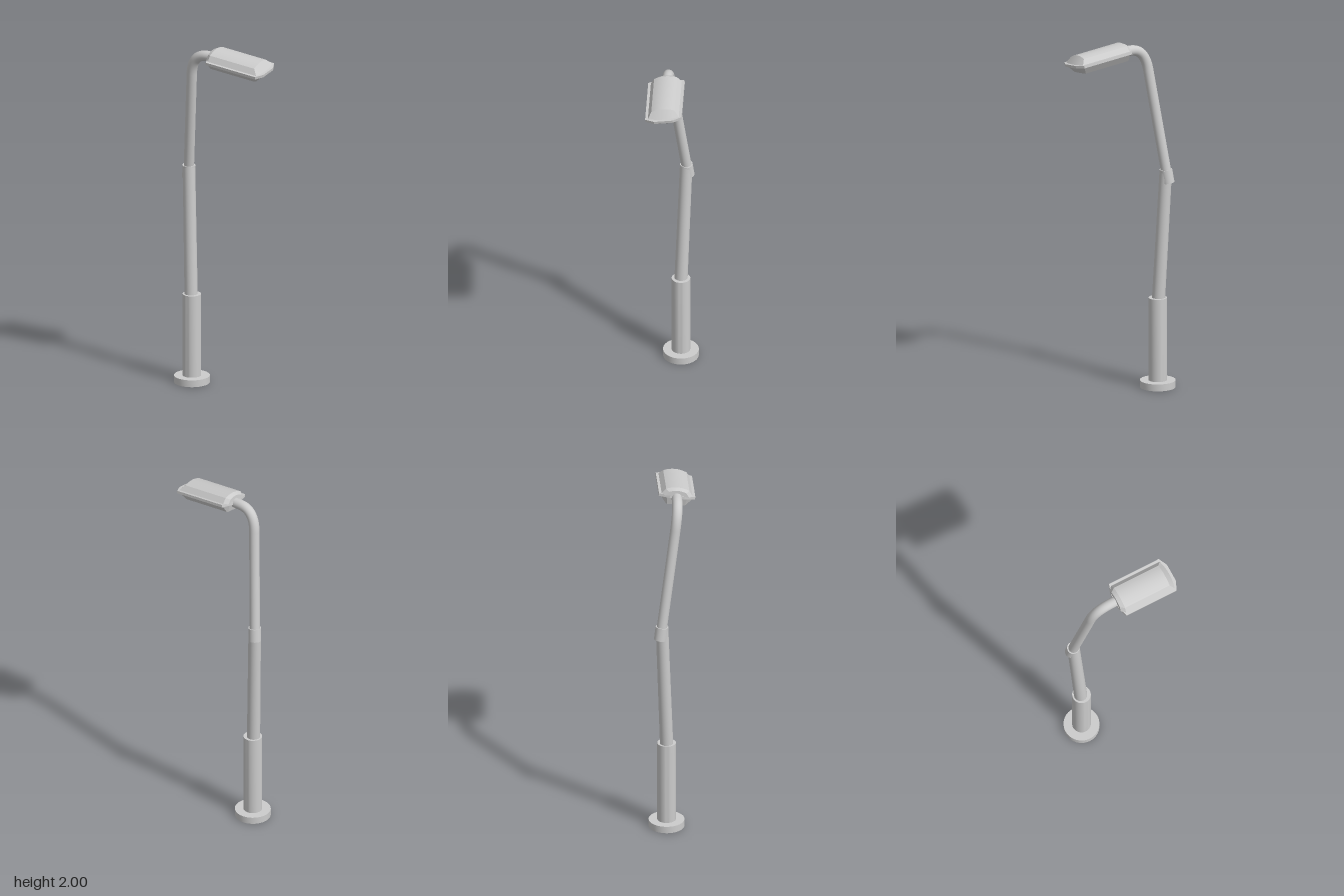
import * as THREE from 'three';
import { toCreasedNormals } from 'three/addons/utils/BufferGeometryUtils.js';

const mat = new THREE.MeshStandardMaterial({ color: 0xcccccc, side: THREE.DoubleSide });
const V = (x, y, z) => new THREE.Vector3(x, y, z);

function part(name, geometry) {
  const mesh = new THREE.Mesh(geometry, mat);
  mesh.name = name;
  return mesh;
}

// Cylinder running from point a to point b
function rod(name, a, b, ra, rb) {
  const mesh = part(name, new THREE.CylinderGeometry(rb, ra, a.distanceTo(b), 32));
  mesh.position.copy(a).add(b).multiplyScalar(0.5);
  mesh.quaternion.setFromUnitVectors(V(0, 1, 0), b.clone().sub(a).normalize());
  return mesh;
}

// Skin over closed rings of equal point count, capped at both ends
function loft(rings, crease) {
  const n = rings[0].length;
  const pos = [];
  const tri = (...p) => p.forEach((v) => pos.push(v.x, v.y, v.z));
  for (let i = 0; i < rings.length - 1; i++) {
    for (let j = 0; j < n; j++) {
      const k = (j + 1) % n;
      const a = rings[i][j], b = rings[i][k], c = rings[i + 1][k], d = rings[i + 1][j];
      tri(a, b, c);
      tri(a, c, d);
    }
  }
  const last = rings[rings.length - 1];
  for (let j = 1; j < n - 1; j++) {
    tri(rings[0][0], rings[0][j + 1], rings[0][j]);
    tri(last[0], last[j], last[j + 1]);
  }
  const g = new THREE.BufferGeometry();
  g.setAttribute('position', new THREE.Float32BufferAttribute(pos, 3));
  return toCreasedNormals(g, crease);
}

// Eight-sided plan outline with clipped corners: ends x0/x1, clip lengths, half widths
function outline(x0, x1, c0, c1, w, w0, w1) {
  return [[x0, w0], [x0 + c0, w], [x1 - c1, w], [x1, w1], [x1, -w1], [x1 - c1, -w], [x0 + c0, -w], [x0, -w0]];
}
const level = (o, y) => o.map(([x, z]) => V(x, y, z));

// Canopy cross-section: straight flanks and an arched crown
function canopyRing(x, lean, w, crown, h) {
  const pts = [V(x + lean, 0.004, -w)];
  const N = 12;
  for (let i = 0; i <= N; i++) {
    const t = (i / N) * 2 - 1;
    const y = h * (0.72 + 0.28 * (1 - t * t));
    pts.push(V(x, y, crown * t));
  }
  pts.push(V(x + lean, 0.004, w));
  return pts;
}

function lampHead() {
  const head = new THREE.Group();
  head.name = 'lampHead';

  // Arched canopy with a short rear chamfer and a sloping nose
  const canopy = [
    canopyRing(-0.175, 0, 0.066, 0.048, 0.038),
    canopyRing(-0.153, 0, 0.089, 0.065, 0.05),
    canopyRing(0.135, 0.028, 0.089, 0.065, 0.05),
  ];
  const nose = canopy[2].map((p) => V(0.163 + 0.013 * (1 - (p.z / 0.089) ** 2), 0.004, p.z * 1.0));
  canopy.push(nose);
  head.add(part('canopy', loft(canopy, 0.3)));

  // Flat rim around the lamp
  const rim = outline(-0.178, 0.188, 0.02, 0.025, 0.102, 0.04, 0.052);
  head.add(part('rim', loft([level(rim, -0.008), level(rim, 0.007)], 0.1)));

  // Tapered lens below the rim
  const lensTop = outline(-0.172, 0.174, 0.018, 0.018, 0.09, 0.055, 0.055);
  const lensBottom = outline(-0.16, 0.138, 0.006, 0.006, 0.056, 0.05, 0.05);
  head.add(part('lens', loft([level(lensBottom, -0.05), level(lensTop, -0.008)], 0.1)));

  head.position.set(0.13, 1.935, 0.03);
  head.rotation.set(0.13, 0, -0.1);
  return head;
}

export function createModel() {
  const model = new THREE.Group();
  model.name = 'streetLamp';

  // Foot flange and lower pole, hollow underneath
  const profile = [[0.1, 0], [0.1, 0.04], [0.052, 0.04], [0.052, 0.515], [0, 0.515]];
  const lathe = new THREE.LatheGeometry(profile.map(([x, y]) => new THREE.Vector2(x, y)), 40);
  const base = part('basePole', toCreasedNormals(lathe, 0.6));
  base.position.set(-0.22, 0, -0.035);
  model.add(base);

  // Leaning middle pole
  const joint = V(-0.256, 1.253, -0.062);
  model.add(rod('middlePole', V(-0.224, 0.48, -0.034), joint, 0.037, 0.035));

  // Upper pole bending over into the arm
  const bendStart = V(-0.19, 1.82, 0.015);
  const bendEnd = V(-0.08, 1.946, 0.03);
  const path = new THREE.CurvePath();
  path.add(new THREE.LineCurve3(joint, bendStart));
  path.add(new THREE.QuadraticBezierCurve3(bendStart, V(-0.176, 1.945, 0.032), bendEnd));
  path.add(new THREE.LineCurve3(bendEnd, V(-0.02, 1.946, 0.03)));
  model.add(part('upperPole', new THREE.TubeGeometry(path, 80, 0.029, 28)));

  // Socket at the joint, in line with the upper pole
  const down = joint.clone().sub(bendStart).normalize();
  model.add(rod('jointSocket', joint.clone().addScaledVector(down, 0.075), joint, 0.036, 0.036));

  model.add(lampHead());
  return model;
}
